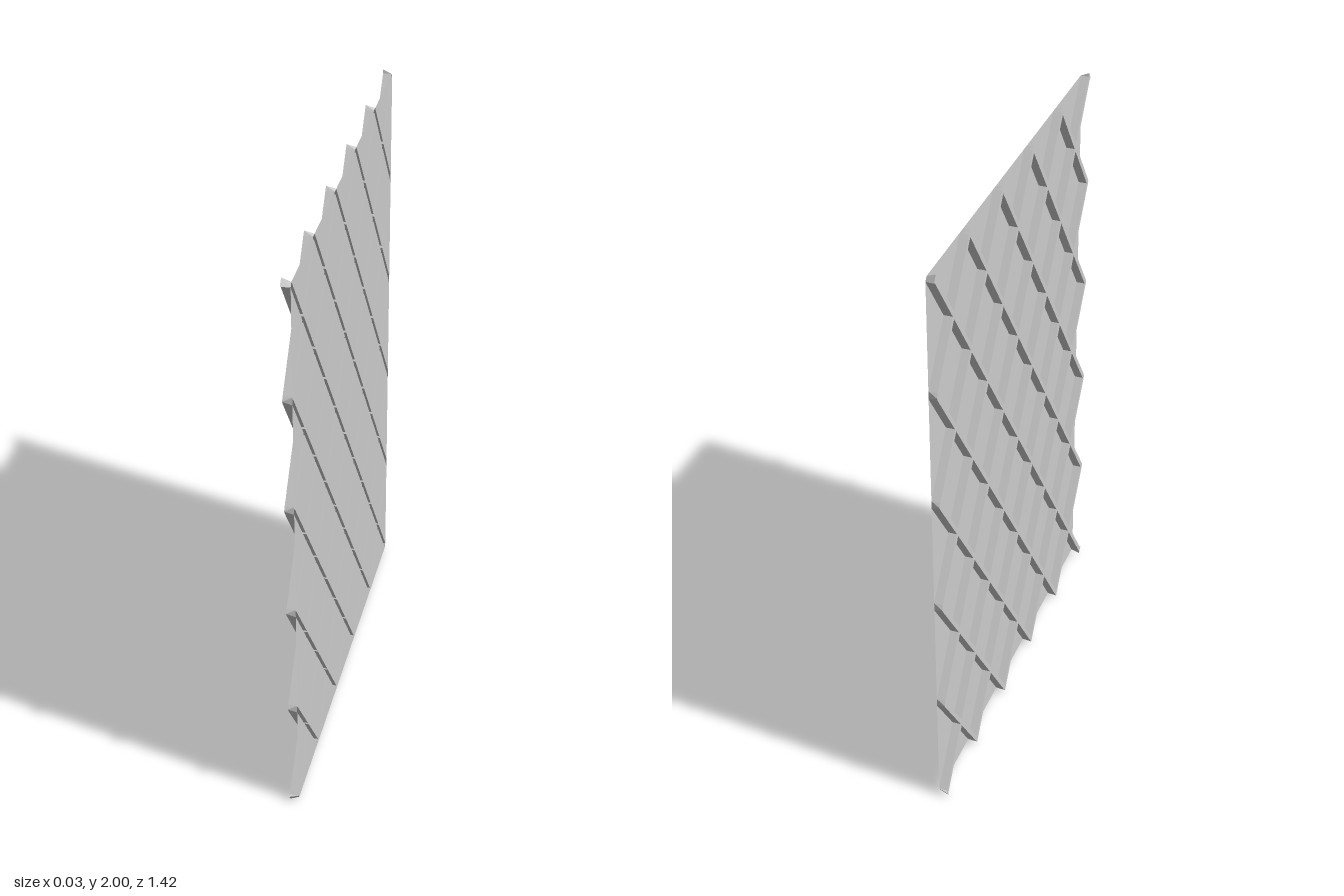
import * as THREE from 'three';

const COLS = 5, ROWS = 5;
const W = 0.702, H = 0.988;             // half width (z) and half height (y) of the sheet
const HW = W / COLS, HH = H / ROWS;     // half diagonals of one diamond
const K = 0.93;                         // diamond scale that leaves the channel gap
const DZ = HW * (1 - K), DY = HH * (1 - K);
const FRONT = 0.0145, BACK = -0.0145;   // x of the diamond faces and the channel floors

const material = new THREE.MeshStandardMaterial({
  color: 0xcccccc, side: THREE.DoubleSide, flatShading: true,
});

// Collects flat polygons (arrays of Vector3) as triangle fans
function makeMesh(name, polygons) {
  const points = [];
  for (const p of polygons) {
    for (let i = 1; i < p.length - 1; i++) points.push(p[0], p[i], p[i + 1]);
  }
  const geometry = new THREE.BufferGeometry().setFromPoints(points);
  geometry.computeVertexNormals();
  const mesh = new THREE.Mesh(geometry, material);
  mesh.name = name;
  return mesh;
}

const at = (x, [z, y]) => new THREE.Vector3(x, 1 + y, z);
const clamp = THREE.MathUtils.clamp;

// Corners of a diamond, cut off at the sheet border
function diamond(cz, cy, k) {
  return [[-1, 0], [0, 1], [1, 0], [0, -1]].map(([a, b]) => [
    clamp(cz + a * HW * k, -W, W),
    clamp(cy + b * HH * k, -H, H),
  ]);
}

function onBorder(a, b) {
  const near = (u, v) => Math.abs(u - v) < 1e-6;
  return (near(a[0], b[0]) && near(Math.abs(a[0]), W))
    || (near(a[1], b[1]) && near(Math.abs(a[1]), H));
}

export function createModel() {
  const faces = [], walls = [], floors = [], caps = [];

  // Diamond faces with the crossing channels folded in between them
  for (let i = 0; i <= 2 * COLS; i++) {
    for (let j = 0; j <= 2 * ROWS; j++) {
      if ((i + j) % 2 === 0) continue;
      const cz = -W + i * HW, cy = -H + j * HH;
      const inner = diamond(cz, cy, K), outer = diamond(cz, cy, 1);
      faces.push([...inner].reverse().map((p) => at(FRONT, p)).reverse());
      for (let e = 0; e < 4; e++) {
        const f = (e + 1) % 4;
        if (onBorder(inner[e], inner[f])) continue;
        walls.push([at(FRONT, inner[e]), at(FRONT, inner[f]), at(BACK, inner[f]), at(BACK, inner[e])]);
        floors.push([at(BACK, inner[e]), at(BACK, inner[f]), at(BACK, outer[f]), at(BACK, outer[e])]);
      }
    }
  }

  // Slanted tips closing the channels where they reach the border
  function addTip(a, b, tip) {
    caps.push([at(FRONT, a), at(FRONT, b), at(BACK, tip)]);
    caps.push([at(FRONT, a), at(BACK, tip), at(BACK, a)]);
    caps.push([at(FRONT, b), at(BACK, b), at(BACK, tip)]);
    floors.push([at(BACK, a), at(BACK, tip), at(BACK, b)]);
  }
  for (const s of [-1, 1]) {
    for (let i = 1; i < COLS; i++) {
      const z = -W + 2 * i * HW;
      addTip([z - DZ, s * H], [z + DZ, s * H], [z, s * (H + 0.012)]);
    }
    for (let j = 1; j < ROWS; j++) {
      const y = -H + 2 * j * HH;
      addTip([s * W, y - DY], [s * W, y + DY], [s * (W + 0.008), y]);
    }
    for (const t of [-1, 1]) {
      // Blunt corner ends
      const a = [s * W, t * (H - DY)], b = [s * (W - DZ), t * H];
      const a2 = [s * (W + 0.008), t * (H - DY * 0.7)], b2 = [s * (W - DZ * 0.7), t * (H + 0.012)];
      caps.push([at(FRONT, a), at(FRONT, b), at(BACK, b2), at(BACK, a2)]);
      caps.push([at(FRONT, a), at(BACK, a2), at(BACK, a)]);
      caps.push([at(FRONT, b), at(BACK, b), at(BACK, b2)]);
      floors.push([at(BACK, a), at(BACK, a2), at(BACK, b2), at(BACK, b)]);
    }
  }

  const group = new THREE.Group();
  group.name = 'latticePanel';
  group.add(
    makeMesh('diamondFaces', faces),
    makeMesh('channelWalls', walls),
    makeMesh('channelFloors', floors),
    makeMesh('channelTips', caps),
  );
  return group;
}
